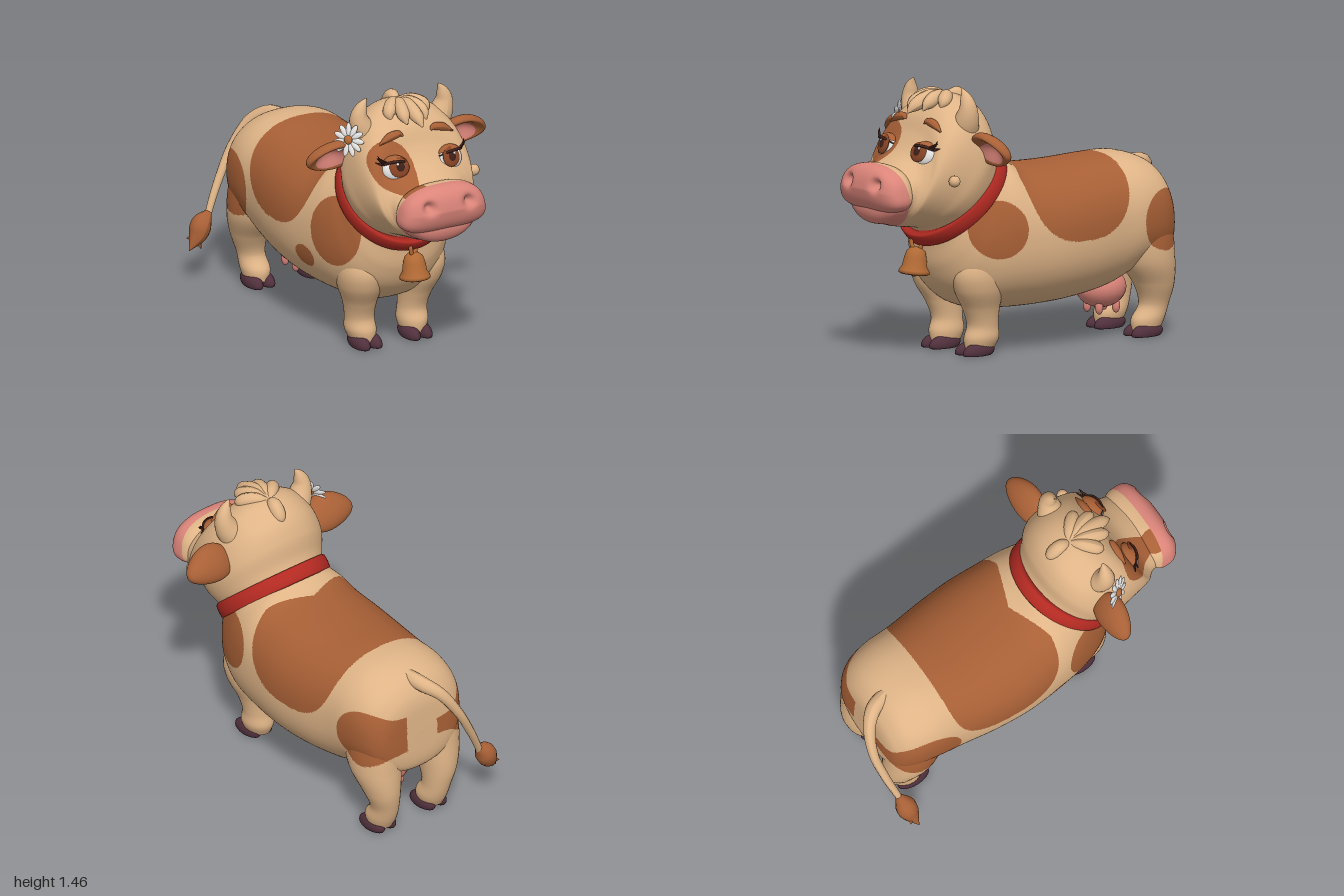
import * as THREE from 'three';
import { mergeVertices } from 'three/addons/utils/BufferGeometryUtils.js';
import { ParametricGeometry } from 'three/addons/geometries/ParametricGeometry.js';

const V = (x, y, z) => new THREE.Vector3(x, y, z);
const mat = (name, color) => Object.assign(new THREE.MeshStandardMaterial({ color }), { name });
const skin = mat('tan hide', 0xdfb487), brown = mat('brown patch', 0xa86036), pink = mat('pink skin', 0xdc857a);
const red = mat('red collar', 0xb32a22), hoofMat = mat('dark hoof', 0x50303c), white = mat('white', 0xe9e8e6);
const copper = mat('copper bell', 0xb26a35), irisMat = mat('iris brown', 0x8a4526), dark = mat('dark lash', 0x3f201a);
const spline = pts => new THREE.CatmullRomCurve3(pts, false, 'catmullrom');

// Skin over rings, each given as [zTop, yTop, zBottom, yBottom, halfWidth, centreX]
function loft(rings, around, along, n) {
  const top = spline(rings.map(r => V(r[5] || 0, r[1], r[0])));
  const bottom = spline(rings.map(r => V(r[5] || 0, r[3], r[2])));
  const width = spline(rings.map(r => V(r[4], 0, 0))), a = V(), b = V();
  const bend = c => Math.sign(c) * Math.abs(c) ** (2 / n);
  return new ParametricGeometry((u, v, out) => {
    v = Math.min(1, Math.max(0, v));
    top.getPoint(v, a); bottom.getPoint(v, b);
    out.copy(a).add(b).multiplyScalar(0.5).addScaledVector(a.sub(b), bend(Math.sin(u * Math.PI * 2)) / 2);
    out.x += bend(Math.cos(u * Math.PI * 2)) * width.getPoint(v).x;
  }, around, along);
}
// Sorts triangles into colour groups, splitting those on a border for a clean edge
function paint(geo, count, pick) {
  const { position, normal } = geo.attributes, ix = geo.index.array, buckets = Array.from({ length: count }, () => []);
  const mid = (a, b) => a.map((q, i) => q.clone().add(b[i]).multiplyScalar(0.5));
  const sort = (a, b, c, depth) => {
    const k = [a, b, c].map(q => pick(q[0]));
    if (depth && (k[0] !== k[1] || k[1] !== k[2])) {
      const ab = mid(a, b), bc = mid(b, c), ca = mid(c, a);
      [[a, ab, ca], [ab, b, bc], [ca, bc, c], [ab, bc, ca]].forEach(t => sort(...t, depth - 1));
    } else buckets[pick(a[0].clone().add(b[0]).add(c[0]).divideScalar(3))].push(a, b, c);
  };
  const at = i => [V().fromBufferAttribute(position, i), V().fromBufferAttribute(normal, i)];
  for (let i = 0; i < ix.length; i += 3) sort(at(ix[i]), at(ix[i + 1]), at(ix[i + 2]), 2);
  const all = buckets.flat(), out = new THREE.BufferGeometry();
  ['position', 'normal'].forEach((name, k) => out.setAttribute(name, new THREE.Float32BufferAttribute(all.flatMap(q => q[k].toArray()), 3)));
  let start = 0;
  buckets.forEach((b, i) => { out.addGroup(start, b.length, i); start += b.length; });
  return out;
}
function reshape(geo, rule) {
  const pos = geo.attributes.position, v = V();
  for (let i = 0; i < pos.count; i++) {
    rule(v.fromBufferAttribute(pos, i), i);
    pos.setXYZ(i, v.x, v.y, v.z);
  }
  geo.computeVertexNormals();
  return geo;
}
// Tapered tube through points [x, y, z, radius]
function taper(pts, along = 24, around = 12) {
  const curve = spline(pts.map(p => V(p[0], p[1], p[2]))), rad = spline(pts.map(p => V(p[3], 0, 0)));
  return reshape(new THREE.TubeGeometry(curve, along, 1, around), (v, i) => {
    const t = curve.getUtoTmapping(Math.floor(i / (around + 1)) / along), c = curve.getPoint(t);
    v.sub(c).multiplyScalar(Math.max(0.001, rad.getPoint(t).x)).add(c);
  });
}
const oval = (z, y, c, r) => ((z - c[0]) / r[0]) ** 2 + ((y - c[1]) / r[1]) ** 2 < 1;
// Hide markings: 1 inside a brown patch
function hide({ x, y, z }) {
  if (Math.abs((z + 0.21) / 0.34) ** 2.6 + Math.abs((1 - y) / 0.41) ** 2.6 < 1 && z < 0.03 + 0.1 * Math.min(1, Math.abs(x) / 0.25)) return 1;
  if (x > 0.1) return +(oval(z, y, [0.32, 0.69], [0.16, 0.155]) || oval(z, y, [-0.78, 0.64], [0.16, 0.165]));
  return +(x < -0.1 && (oval(z, y, [0.33, 0.67], [0.16, 0.19]) || oval(z, y, [-0.72, 0.61], [0.19, 0.18]) || oval(z, y, [0.1, 0.47], [0.08, 0.06])));
}
// Face colours: 2 on the muzzle, 1 around one eye
function face({ x, y, z }) {
  if (z > 0.81 + (y - 0.75) * 0.25) return 2;
  return +(z > 0.45 && oval(x, y, [-0.185, 1.125], [0.118, 0.125]));
}

export function createModel() {
  const model = new THREE.Group();
  const add = (name, geo, material, parent = model) => {
    const m = new THREE.Mesh(geo, material);
    m.name = name;
    parent.add(m);
    return m;
  };
  const ball = (name, material, [x, y, z], size, parent = model) => {
    const m = add(name, new THREE.SphereGeometry(1, 20, 14), material, parent);
    m.position.set(x, y, z); m.scale.set(...size);
    return m;
  };
  const group = (name, x, y, z) => {
    const g = new THREE.Group();
    g.name = name;
    g.position.set(x, y, z);
    model.add(g);
    return g;
  };

  // Body from rump to neck
  add('body', paint(loft([
    [-0.903, 0.63, -0.903, 0.629, 0.0005], [-0.89, 0.8, -0.905, 0.45, 0.2], [-0.85, 0.89, -0.87, 0.38, 0.28],
    [-0.78, 0.95, -0.78, 0.36, 0.33], [-0.66, 0.985, -0.65, 0.33, 0.355], [-0.5, 0.985, -0.5, 0.27, 0.365],
    [-0.3, 0.975, -0.3, 0.235, 0.39], [-0.1, 0.975, -0.1, 0.22, 0.402], [0.05, 0.99, 0.13, 0.22, 0.39],
    [0.13, 1.03, 0.35, 0.245, 0.37], [0.18, 1.04, 0.49, 0.345, 0.342], [0.2, 1.05, 0.555, 0.47, 0.312],
    [0.22, 1.04, 0.57, 0.59, 0.29], [0.26, 1.03, 0.58, 0.68, 0.25]], 104, 110, 2.3), 2, hide), [skin, brown]);

  // Legs [y, x, z, halfX, halfZ] and cloven hooves
  const front = [[0.03, 0.155, 0.325, 0.065, 0.085], [0.09, 0.16, 0.315, 0.082, 0.1], [0.16, 0.163, 0.31, 0.078, 0.088],
    [0.25, 0.17, 0.325, 0.09, 0.105], [0.36, 0.185, 0.35, 0.118, 0.14], [0.47, 0.19, 0.36, 0.12, 0.14], [0.62, 0.19, 0.32, 0.08, 0.1]];
  const hind = [[0.03, 0.17, -0.75, 0.065, 0.08], [0.09, 0.17, -0.765, 0.078, 0.095], [0.17, 0.175, -0.8, 0.075, 0.085],
    [0.28, 0.19, -0.79, 0.1, 0.115], [0.42, 0.195, -0.74, 0.135, 0.16], [0.6, 0.19, -0.71, 0.13, 0.17], [0.76, 0.17, -0.69, 0.08, 0.1]];
  for (const s of [1, -1]) {
    for (const [name, leg, hz] of [['frontLeg', front, 0.355], ['hindLeg', hind, -0.735]]) {
      const rings = leg.map(([y, x, z, a, b]) => [z - b, y, z + b, y, a, s * x]);
      add(name, paint(loft(rings, 32, 32, 2), 2, hide), [skin, brown]);
      for (const t of [-1, 1]) {
        const toe = reshape(new THREE.SphereGeometry(1, 20, 14), v => v.set(v.x * 0.044, Math.max(0, 0.022 + v.y * 0.05 - v.z * 0.008), v.z * 0.098));
        add('hoofToe', toe, hoofMat).position.set(s * leg[0][1] + t * 0.037, 0, hz);
      }
    }
  }

  // Udder with teats
  ball('udder', pink, [0, 0.255, -0.58], [0.13, 0.11, 0.14]);
  for (const x of [-0.055, 0.055]) for (const z of [-0.53, -0.64]) ball('teat', pink, [x, 0.155, z], [0.022, 0.04, 0.022]);

  // Tail and its tuft
  add('tail', taper([[0, 0.915, -0.77, 0.04], [-0.03, 0.9, -0.87, 0.042], [-0.1, 0.84, -0.945, 0.033], [-0.19, 0.7, -0.977, 0.026],
    [-0.27, 0.55, -0.965, 0.023], [-0.33, 0.43, -0.945, 0.02], [-0.365, 0.35, -0.93, 0.018]], 40), skin);
  for (const [x, y, z, r] of [[-0.495, 0.195, -0.9, 0.055], [-0.43, 0.2, -0.885, 0.035], [-0.485, 0.25, -0.945, 0.035]]) {
    add('tailTuft', taper([[-0.345, 0.385, -0.935, 0.012], [-0.4, 0.33, -0.925, r], [-0.435, 0.265, -0.915, r * 0.9], [x, y, z, 0.002]]), brown);
  }

  // Head from neck to lower lip
  const head = add('head', paint(loft([
    [0.18, 1.05, 0.6, 0.66, 0.285], [0.21, 1.12, 0.64, 0.69, 0.315], [0.235, 1.24, 0.68, 0.7, 0.335], [0.3, 1.345, 0.72, 0.705, 0.335],
    [0.42, 1.4, 0.76, 0.71, 0.328], [0.53, 1.375, 0.79, 0.715, 0.315], [0.61, 1.3, 0.815, 0.72, 0.297], [0.66, 1.2, 0.832, 0.727, 0.27],
    [0.725, 1.115, 0.85, 0.73, 0.242], [0.81, 1.06, 0.875, 0.735, 0.232], [0.88, 1.03, 0.92, 0.745, 0.21],
    [0.92, 0.99, 0.945, 0.775, 0.17], [0.925, 0.93, 0.955, 0.82, 0.08], [0.93, 0.88, 0.945, 0.879, 0.0005]], 100, 104, 2.1), 3, face), [skin, brown, pink]);

  // Broad nose with nostril hollows
  const noseBall = new THREE.SphereGeometry(1, 80, 56);
  noseBall.deleteAttribute('uv'); noseBall.deleteAttribute('normal');
  add('nose', paint(reshape(mergeVertices(noseBall), v => {
    const n = 2.9;
    v.divideScalar((Math.abs(v.x) ** n + Math.abs(v.y) ** n + Math.abs(v.z) ** n) ** (1 / n));
    v.set(v.x * 0.265 * (0.95 - 0.1 * v.y), 0.935 + v.y * 0.125 - 0.012 * v.x * v.x, 0.885 + v.z * (0.115 - 0.02 * Math.abs(v.y)));
    if (v.z > 0.9) v.z -= 0.05 * Math.exp(-(((Math.abs(v.x) - 0.12) / 0.028) ** 2) - ((v.y - 0.965) / 0.03) ** 2);
  }), 3, face), [skin, brown, pink]);

  // Finds the face surface in front of x, y
  head.updateMatrixWorld();
  const probe = (x, y) => new THREE.Raycaster(V(x, y, 3), V(0, 0, -1)).intersectObject(head)[0];

  for (const s of [1, -1]) {
    // Eye with lid and lashes
    const { point, face: { normal } } = probe(s * 0.17, 1.11);
    const eye = group('eye', point.x, point.y, point.z - 0.012);
    eye.lookAt(eye.position.clone().add(normal).add(V(0, -0.2, 0.2)));
    ball('eyeWhite', white, [0, 0, 0], [0.075, 0.066, 0.042], eye);
    ball('iris', irisMat, [-s * 0.016, 0.006, 0.034], [0.056, 0.054, 0.015], eye);
    ball('pupil', dark, [-s * 0.018, 0.008, 0.045], [0.025, 0.027, 0.007], eye);
    ball('eyeGlint', white, [-s * 0.003, 0.024, 0.05], [0.008, 0.008, 0.004], eye);
    add('eyelid', new THREE.SphereGeometry(1, 32, 12, 0, Math.PI * 2, 0, 1.03), brown, eye).scale.set(0.082, 0.073, 0.06);
    add('lashLine', taper([[-s * 0.075, 0.024, 0.005, 0.003], [-s * 0.035, 0.037, 0.048, 0.007], [s * 0.025, 0.038, 0.05, 0.008],
      [s * 0.07, 0.032, 0.014, 0.008], [s * 0.108, 0.045, 0.005, 0.001]]), dark, eye);
    for (const k of [0, 1]) {
      add('lash', taper([[s * (0.068 - k * 0.018), 0.036, 0.02 + k * 0.014, 0.006], [s * 0.085, 0.05 + k * 0.008, 0.028, 0.005],
        [s * (0.105 - k * 0.008), 0.068 + k * 0.012, 0.03, 0.001]], 10, 8), dark, eye);
    }

    // Brow
    add('brow', taper([[0.085, 1.262, 0.004], [0.11, 1.275, 0.019], [0.165, 1.265, 0.022], [0.228, 1.232, 0.004]].map(([x, y, r]) =>
      [s * x, y, probe(s * x, y).point.z + 0.006, r])), brown);

    // Horn
    add('horn', taper([[s * 0.2, 1.22, 0.46, 0.085], [s * 0.245, 1.29, 0.47, 0.066], [s * 0.262, 1.355, 0.475, 0.048],
      [s * 0.248, 1.41, 0.48, 0.03], [s * 0.222, 1.455, 0.485, 0.003]], 28, 20), skin);

    // Hollow leaf-shaped ear
    const earGeo = reshape(new THREE.SphereGeometry(1, 48, 36), v => v.set(v.x * 0.145,
      (v.y * (1 - 0.22 * v.x) + 0.12 * (1 - v.x * v.x)) * 0.103, (v.z > 0 ? v.z * (1.1 - 1.6 * v.z * v.z) : v.z) * 0.06));
    const ear = add('ear', paint(earGeo, 2, c => +(c.z > -0.035 && oval(c.x, c.y, [-0.01, -0.014], [0.098, 0.052]))), [brown, pink]);
    ear.position.set(s * 0.405, 1.13, 0.42);
    ear.rotation.set(0.58, 0, -s * 0.06);
    ear.scale.x = s;
  }

  // Forelock
  for (const [x, y, z] of [[-0.115, 1.33, 0.56], [-0.06, 1.325, 0.64], [0.005, 1.315, 0.69], [0.065, 1.33, 0.63], [0.115, 1.335, 0.55], [0.01, 1.31, 0.29]]) {
    add('forelock', taper([[0, 1.375, 0.42, 0.02], [x * 0.5, 1.39, 0.42 + (z - 0.42) * 0.4, 0.036],
      [x * 0.95, y + 0.035, 0.42 + (z - 0.42) * 0.8, 0.034], [x, y - 0.005, z, 0.003]]), skin);
  }

  // Small ball on the cheek
  ball('cheekBall', skin, [0.355, 0.985, 0.63], [0.031, 0.031, 0.031]);
  add('cheekStem', taper([[0.25, 0.95, 0.6, 0.014], [0.31, 0.965, 0.62, 0.01], [0.35, 0.98, 0.63, 0.01]], 8, 10), skin);

  // Daisy by the ear
  const daisy = group('daisy', -0.34, 1.245, 0.5);
  daisy.lookAt(-1.14, 1.5, 1.0);
  for (let i = 0; i < 11; i++) {
    const a = i / 11 * Math.PI * 2;
    ball('petal', white, [Math.cos(a) * 0.055, Math.sin(a) * 0.055, 0], [0.037, 0.016, 0.008], daisy).rotation.z = a;
  }
  ball('daisyCentre', copper, [0, 0, 0.008], [0.024, 0.024, 0.014], daisy);

  // Tilted collar band
  const turn = (pts, sides) => new THREE.LatheGeometry(pts.map(p => new THREE.Vector2(...p)), sides);
  const collar = add('collar', turn([[0.29, -0.042], [0.322, -0.043], [0.333, -0.034], [0.336, 0], [0.333, 0.034], [0.322, 0.043], [0.29, 0.042], [0.29, -0.042]], 72), red);
  collar.position.set(0, 0.845, 0.385);
  collar.rotation.x = 0.765;
  collar.scale.x = 0.94;

  // Bell on its loop
  const bell = group('bell', -0.01, 0.437, 0.635);
  bell.rotation.x = -0.12;
  add('bellBody', turn([[0.001, 0.03], [0.062, 0.02], [0.07, 0], [0.083, 0.006], [0.081, 0.022], [0.067, 0.045], [0.06, 0.09], [0.05, 0.125], [0.03, 0.143], [0.001, 0.148]], 40), copper, bell);
  ball('clapper', copper, [0, 0.012, 0], [0.024, 0.024, 0.024], bell);
  const loop = add('bellLoop', new THREE.TorusGeometry(0.03, 0.011, 12, 28), copper, bell);
  loop.position.set(0, 0.175, 0);
  loop.scale.y = 1.5;
  loop.rotation.y = 0.6;
  return model;
}
